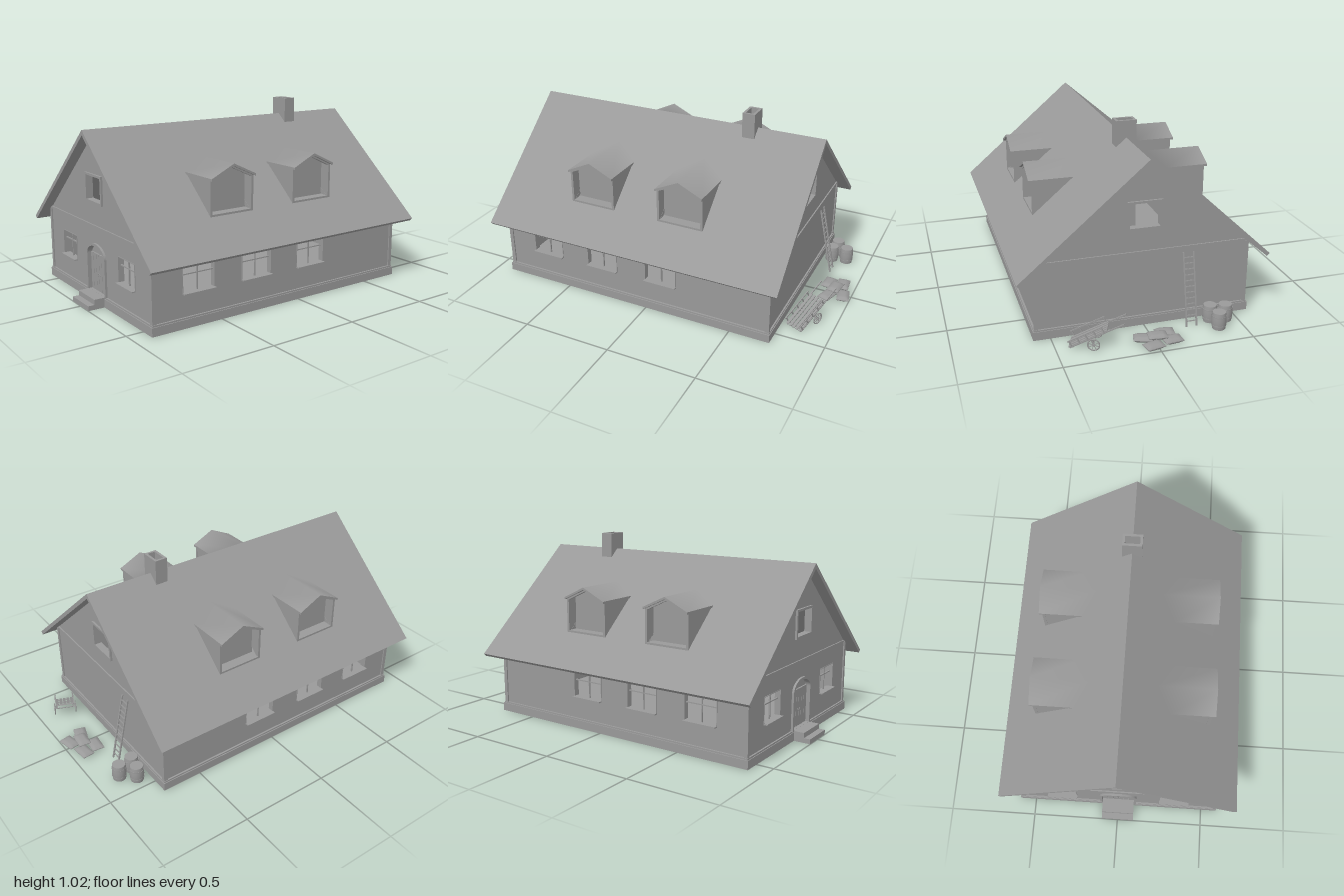
import * as THREE from 'three';

const mat = new THREE.MeshStandardMaterial({ color: 0x999999 });

function add(parent, name, geo, x = 0, y = 0, z = 0) {
  const m = new THREE.Mesh(geo, mat);
  m.name = name;
  m.position.set(x, y, z);
  parent.add(m);
  return m;
}
const box = (parent, name, w, h, d, x, y, z) => add(parent, name, new THREE.BoxGeometry(w, h, d), x, y, z);

function group(parent, name, x = 0, y = 0, z = 0, ry = 0) {
  const g = new THREE.Group();
  g.name = name;
  g.position.set(x, y, z);
  g.rotation.y = ry;
  parent.add(g);
  return g;
}

const poly = (pts, Type = THREE.Shape) => new Type(pts.map(p => new THREE.Vector2(p[0], p[1])));
const rect = (x0, y0, x1, y1, Type) => poly([[x0, y0], [x1, y0], [x1, y1], [x0, y1]], Type);

function extrude(shape, depth, holes = []) {
  shape.holes.push(...holes);
  return new THREE.ExtrudeGeometry(shape, { depth, bevelEnabled: false, curveSegments: 16 });
}

// Outline with an arched top
function arch(rx, y0, spring, ry, Type = THREE.Shape) {
  const s = new Type();
  s.moveTo(-rx, y0);
  s.lineTo(rx, y0);
  s.lineTo(rx, spring);
  s.absellipse(0, spring, rx, ry, 0, Math.PI, false, 0);
  s.lineTo(-rx, y0);
  return s;
}

// Window facing +z, its wall face at z = 0
function addWindow(parent, x, y, z, ry, w, h, bars) {
  const g = group(parent, 'window', x, y, z, ry), a = w / 2, b = h / 2;
  const inner = bars ? 0.003 : 0.012;
  add(g, 'windowFrame', extrude(rect(-a, -b, a, b), bars ? 0.033 : 0.041,
    [rect(-a + inner, -b + inner, a - inner, b - inner, THREE.Path)]), 0, 0, -0.03);
  if (!bars) return;
  box(g, 'mullion', 0.006, h, 0.008, 0, 0, -0.015);
  box(g, 'transom', w, 0.006, 0.008, 0, 0.022, -0.015);
  box(g, 'sill', w, 0.006, 0.035, 0, -b, 0.004);
}

const FRONT = 0.895, BACK = -0.715, SIDE = 0.575, T = 0.03;
const MID = (FRONT + BACK) / 2, LEN = FRONT - BACK;
const WIN_Y = 0.245, WIN_H = 0.14;
const sideWindows = [0.632, 0.276, -0.088];
const dormers = [0.37, -0.165];
const RIDGE = 0.93, SLOPE = 0.859;

function buildWalls(house) {
  const gable = () => poly([[-SIDE, 0.02], [SIDE, 0.02], [SIDE, 0.415], [0, 0.912], [-SIDE, 0.415]]);
  const attic = () => rect(-0.09, 0.545, 0.09, 0.692, THREE.Path);
  const frontHoles = [arch(0.1, 0.05, 0.255, 0.062, THREE.Path), attic()];
  for (const s of [-1, 1]) {
    const c = s * 0.327;
    frontHoles.push(rect(c - 0.087, 0.175, c + 0.087, 0.315, THREE.Path));
    addWindow(house, c, WIN_Y, FRONT, 0, 0.174, WIN_H, true);
  }
  add(house, 'frontWall', extrude(gable(), T, frontHoles), 0, 0, FRONT - T);
  add(house, 'backWall', extrude(gable(), T, [attic()]), 0, 0, BACK);
  addWindow(house, 0, 0.6185, FRONT, 0, 0.186, 0.155, false);
  addWindow(house, 0, 0.6185, BACK, Math.PI, 0.186, 0.155, false);

  // Long side walls
  for (const s of [-1, 1]) {
    const holes = sideWindows.map(z => rect(-z - 0.095, 0.175, -z + 0.095, 0.315, THREE.Path));
    const geo = extrude(rect(-FRONT + T, 0.02, -BACK - T, 0.415), T, holes).rotateY(Math.PI / 2);
    add(house, 'sideWall', geo, s > 0 ? SIDE - T : -SIDE);
    for (const z of sideWindows) addWindow(house, s * SIDE, WIN_Y, z, s * Math.PI / 2, 0.19, WIN_H, true);
    for (const z of [FRONT - 0.004, BACK + 0.004]) box(house, 'cornerPost', 0.02, 0.36, 0.022, s * 0.572, 0.23, z);
  }
  for (const z of [FRONT, BACK]) box(house, 'gableBeam', 1.15, 0.01, 0.014, 0, 0.417, z);
  box(house, 'plinth', 1.18, 0.046, LEN + 0.026, 0, 0.023, MID);
  box(house, 'plinthCap', 1.17, 0.009, LEN + 0.018, 0, 0.05, MID);
}

function buildRoof(house) {
  // Flat slab per side, with dormer openings, sheared down from the ridge
  for (const s of [-1, 1]) {
    const holes = dormers.map(z => rect(s * 0.432, -z - 0.12, s * 0.486, -z + 0.12, THREE.Path));
    const geo = extrude(rect(0, -0.955, s * 0.675, 0.785), 0.028, holes).rotateX(-Math.PI / 2);
    const p = geo.attributes.position;
    for (let i = 0; i < p.count; i++) {
      if (p.getY(i) < 0.01 && Math.abs(p.getX(i)) > 0.6) p.setX(i, s * 0.66);
      p.setY(i, p.getY(i) + RIDGE - 0.028 - SLOPE * Math.abs(p.getX(i)));
    }
    geo.computeVertexNormals();
    add(house, 'roof', geo);
  }
  // Hollow chimney
  const stack = extrude(rect(-0.056, -0.036, 0.056, 0.036), 0.97,
    [rect(-0.042, -0.022, 0.042, 0.022, THREE.Path)]).rotateX(-Math.PI / 2);
  add(house, 'chimney', stack, 0, 0.052, -0.365);
}

// Dormer roof: inner end cut to the main slope, its normals blending into it
function dormerRoofGeometry() {
  const shape = poly([[0, 0.77], [-0.137, 0.705], [-0.137, 0.693], [0, 0.757], [0.137, 0.693], [0.137, 0.705]]);
  const geo = extrude(shape, 0.51).rotateY(Math.PI / 2);
  const p = geo.attributes.position, n = geo.attributes.normal;
  const main = new THREE.Vector3(SLOPE, 1, 0).normalize();
  for (let i = 0; i < p.count; i++) {
    const innerEnd = p.getX(i) < 0.1;
    if (innerEnd) p.setX(i, (RIDGE - p.getY(i)) / SLOPE);
    if (n.getY(i) < 0.5) continue;
    if (innerEnd) n.setXYZ(i, main.x, main.y, main.z);
    else if (Math.abs(p.getZ(i)) < 0.01) n.setXYZ(i, 0, 1, 0);
  }
  return geo;
}

// Dormer facing +x
function buildDormer(house, z, ry) {
  const g = group(house, 'dormer', 0, 0, z, ry);
  const pent = (w, y0, y1, y2, Type) => poly([[-w, y0], [w, y0], [w, y1], [0, y2], [-w, y1]], Type);
  const along = (name, shape, x0, x1, holes) =>
    add(g, name, extrude(shape, x1 - x0, holes).rotateY(Math.PI / 2), x0);
  add(g, 'dormerRoof', dormerRoofGeometry());
  along('dormerFrame', pent(0.134, 0.506, 0.697, 0.76), 0.475, 0.492, [pent(0.121, 0.518, 0.69, 0.747, THREE.Path)]);
  along('dormerPanel', pent(0.125, 0.506, 0.695, 0.755), 0.42, 0.434);
  box(g, 'dormerSill', 0.065, 0.012, 0.244, 0.455, 0.512, 0);
  const cheek = () => extrude(poly([[0.488, 0.506], [0.488, 0.7], [0.26, 0.7]]), 0.012);
  add(g, 'dormerCheek', cheek(), 0, 0, 0.121);
  add(g, 'dormerCheek', cheek(), 0, 0, -0.133);
}

function buildDoor(house) {
  const g = group(house, 'door');
  add(g, 'doorFrame', extrude(arch(0.107, 0.05, 0.255, 0.069), 0.042, [arch(0.093, 0.05, 0.255, 0.055, THREE.Path)]), 0, 0, FRONT - T);
  add(g, 'doorBack', extrude(arch(0.098, 0.05, 0.255, 0.06), 0.01), 0, 0, 0.866);
  for (let i = 0; i < 6; i++) box(g, 'doorPlank', 0.029, 0.205, 0.01, (i - 2.5) * 0.031, 0.157, 0.88);
  for (const s of [-1, 1]) add(g, 'doorHandle', new THREE.TorusGeometry(0.006, 0.0015, 6, 12), s * 0.008, 0.147, 0.887);
  box(g, 'lowerStep', 0.187, 0.026, 0.11, 0, 0.013, 0.945);
  box(g, 'upperStep', 0.187, 0.028, 0.075, 0, 0.04, 0.9275);
}

function buildBarrel(house, x, z) {
  const g = group(house, 'barrel', x, 0, z);
  const pts = [[0.035, 0], [0.038, 0.022], [0.0395, 0.047], [0.038, 0.072], [0.035, 0.094]];
  add(g, 'barrelBody', new THREE.LatheGeometry(pts.map(p => new THREE.Vector2(...p)), 18));
  for (const y of [0.0005, 0.0935]) add(g, 'barrelLid', new THREE.CylinderGeometry(0.035, 0.035, 0.001, 18), 0, y, 0);
  for (const y of [0.022, 0.072]) add(g, 'barrelHoop', new THREE.CylinderGeometry(0.039, 0.039, 0.006, 18), 0, y, 0);
}

function buildLadder(house) {
  const g = group(house, 'ladder', -0.235, 0, -0.815);
  g.rotation.x = 0.21;
  for (const s of [-1, 1]) box(g, 'ladderRail', 0.008, 0.4, 0.008, s * 0.028, 0.2, 0);
  for (let i = 0; i < 12; i++) box(g, 'ladderRung', 0.056, 0.005, 0.005, 0, 0.03 + i * 0.031, 0);
}

// Pillow shape: a box thinned towards its rim
function sackGeometry() {
  const geo = new THREE.BoxGeometry(0.1, 0.03, 0.068, 8, 1, 6), p = geo.attributes.position;
  for (let i = 0; i < p.count; i++) {
    const u = p.getX(i) / 0.05, v = p.getZ(i) / 0.034;
    p.setY(i, p.getY(i) * (0.15 + 0.85 * Math.sqrt(Math.max(0, (1 - u ** 4) * (1 - v ** 4)))));
  }
  geo.computeVertexNormals();
  return geo;
}

function buildSacks(house) {
  const spots = [[-0.085, -0.93, 0.1, 0.015], [0.025, -0.96, 0.2, 0.015], [-0.07, -0.852, -0.1, 0.015],
    [0.055, -0.877, -0.3, 0.015], [-0.013, -0.903, -0.1, 0.034]];
  for (const [x, z, ry, y] of spots) add(house, 'sack', sackGeometry(), x, y, z).rotation.y = ry;
}

// Two-wheeled handcart, tipped with its handles up
function buildCart(house) {
  const g = group(house, 'cart', 0.328, 0.06, -0.837, -0.39);
  g.rotation.z = -0.5;
  for (let i = 0; i < 5; i++) box(g, 'bedSlat', 0.22, 0.005, 0.014, 0, 0, (i - 2) * 0.021);
  for (const x of [-0.09, 0, 0.09]) box(g, 'bedBearer', 0.008, 0.007, 0.1, x, -0.006, 0);
  for (const s of [-1, 1]) {
    box(g, 'handle', 0.31, 0.006, 0.006, -0.05, -0.004, s * 0.05);
    box(g, 'sideRail', 0.2, 0.006, 0.005, 0, 0.03, s * 0.052);
    for (let i = 0; i < 5; i++) box(g, 'sidePost', 0.006, 0.036, 0.005, (i - 2) * 0.046, 0.015, s * 0.051);
    const w = group(g, 'wheel', -0.015, -0.036, s * 0.06);
    add(w, 'rim', new THREE.TorusGeometry(0.03, 0.0035, 6, 20));
    for (let i = 0; i < 4; i++) box(w, 'spoke', 0.058, 0.003, 0.003, 0, 0, 0).rotation.z = i * Math.PI / 4;
    add(w, 'hub', new THREE.CylinderGeometry(0.006, 0.006, 0.01, 10).rotateX(Math.PI / 2));
    box(g, 'axleBracket', 0.008, 0.034, 0.006, -0.015, -0.019, s * 0.045);
  }
  add(g, 'axle', new THREE.CylinderGeometry(0.003, 0.003, 0.12, 8).rotateX(Math.PI / 2), -0.015, -0.036, 0);
}

export function createModel() {
  const house = new THREE.Group();
  house.name = 'farmhouse';
  buildWalls(house);
  buildRoof(house);
  for (const z of dormers) for (const ry of [0, Math.PI]) buildDormer(house, z, ry);
  buildDoor(house);
  for (const [x, z] of [[-0.43, -0.797], [-0.365, -0.867], [-0.35, -0.782]]) buildBarrel(house, x, z);
  buildLadder(house);
  buildSacks(house);
  buildCart(house);
  return house;
}
